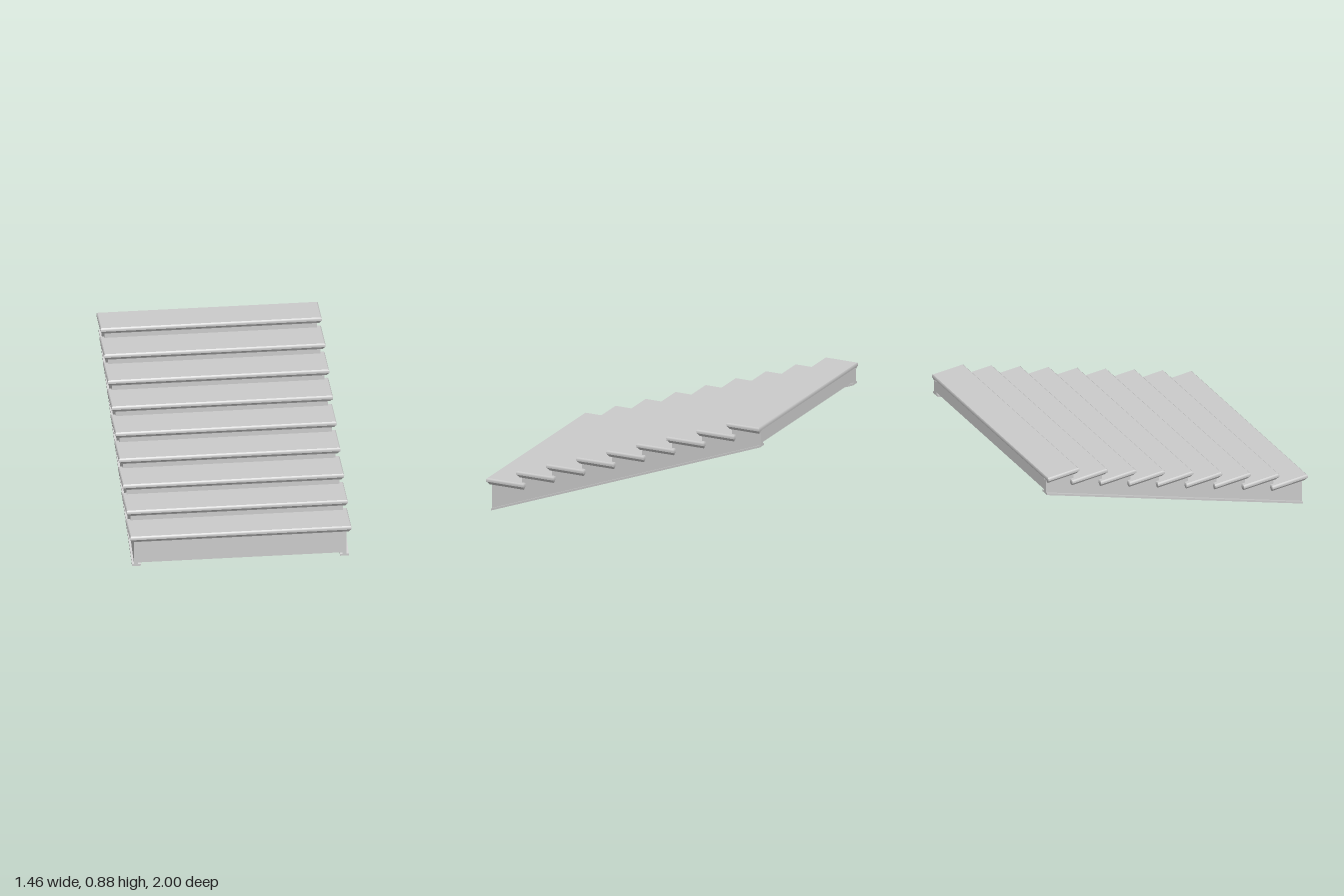
import * as THREE from 'three';
import { toCreasedNormals } from 'three/addons/utils/BufferGeometryUtils.js';

const STEPS = 9, RUN = 0.22, RISE = 0.0822;
const TOP0 = 0.226, THICK = 0.045, HALF_W = 0.732;
const noseZ = i => 1 - RUN * i;
const topY = i => TOP0 + RISE * i;
const riserZ = i => noseZ(i) - 0.028;
const slopeY = z => (0.972 - z) * 0.745 / 1.972;

const material = new THREE.MeshStandardMaterial({ color: 0xcccccc, side: THREE.DoubleSide });

function add(group, geometry, name) {
  const mesh = new THREE.Mesh(geometry, material);
  mesh.name = name;
  group.add(mesh);
  return mesh;
}

// Board lofted through inset rectangles: rounded rim with a cove below it
function treadGeometry(depth) {
  const rings = [[0, 0.008], [-0.005, 0.002], [-0.012, 0], [-0.024, 0.001], [-0.031, 0.008], [-THICK, 0.017]];
  const pos = [], index = [];
  for (const [y, inset] of rings) {
    const x = HALF_W - inset, z0 = -depth + inset * 0.4, z1 = -inset;
    pos.push(-x, y, z1, x, y, z1, x, y, z0, -x, y, z0);
  }
  for (let r = 0; r < rings.length - 1; r++) {
    for (let k = 0; k < 4; k++) {
      const a = r * 4 + k, b = r * 4 + (k + 1) % 4;
      index.push(a, a + 4, b, b, a + 4, b + 4);
    }
  }
  const e = (rings.length - 1) * 4;
  index.push(0, 1, 2, 0, 2, 3, e, e + 2, e + 1, e, e + 3, e + 2);
  const g = new THREE.BufferGeometry();
  g.setAttribute('position', new THREE.Float32BufferAttribute(pos, 3));
  g.setIndex(index);
  return toCreasedNormals(g, 0.6);
}

// Extrudes a [z, y] outline across x, from x0 to x1
function sidePlate(points, x0, x1) {
  const shape = new THREE.Shape(points.map(([z, y]) => new THREE.Vector2(z, y)));
  const g = new THREE.ExtrudeGeometry(shape, { depth: x1 - x0, bevelEnabled: false });
  g.rotateY(-Math.PI / 2);
  g.translate(x1, 0, 0);
  return g;
}

export function createModel() {
  const model = new THREE.Group();
  model.name = 'staircase';

  // Treads and the risers beneath their noses
  for (let i = 0; i < STEPS; i++) {
    const depth = i === STEPS - 1 ? noseZ(i) + 1 : 0.275;
    add(model, treadGeometry(depth), 'tread').position.set(0, topY(i), noseZ(i));

    const bottom = i === 0 ? 0.025 : topY(i - 1) - THICK;
    const top = topY(i) - 0.03;
    const riser = add(model, new THREE.BoxGeometry(1.37, top - bottom, 0.016), 'riser');
    riser.position.set(0, (top + bottom) / 2, riserZ(i) - 0.008);
  }

  // Board closing the upper end
  const backTop = topY(STEPS - 1) - 0.02;
  add(model, new THREE.BoxGeometry(1.37, backTop - 0.77, 0.016), 'backBoard')
    .position.set(0, (backTop + 0.77) / 2, -0.991);

  // Saw-toothed stringers with a flange along the sloping lower edge
  const outline = [[0.972, 0]];
  for (let i = 0; i < STEPS; i++) {
    const y = topY(i) - 0.03;
    outline.push([riserZ(i), y], [i === STEPS - 1 ? -1 : riserZ(i + 1), y]);
  }
  outline.push([-1, slopeY(-1)]);
  const flange = [[0.972, 0], [0.972, 0.014], [-1, slopeY(-1) + 0.014], [-1, slopeY(-1)]];

  for (const side of [1, -1]) {
    const span = (a, b) => side > 0 ? [a, b] : [-b, -a];
    const name = side > 0 ? 'left' : 'right';
    add(model, sidePlate(outline, ...span(0.675, 0.702)), name + 'Stringer');
    add(model, sidePlate(flange, ...span(0.658, 0.716)), name + 'Flange');
  }
  return model;
}
